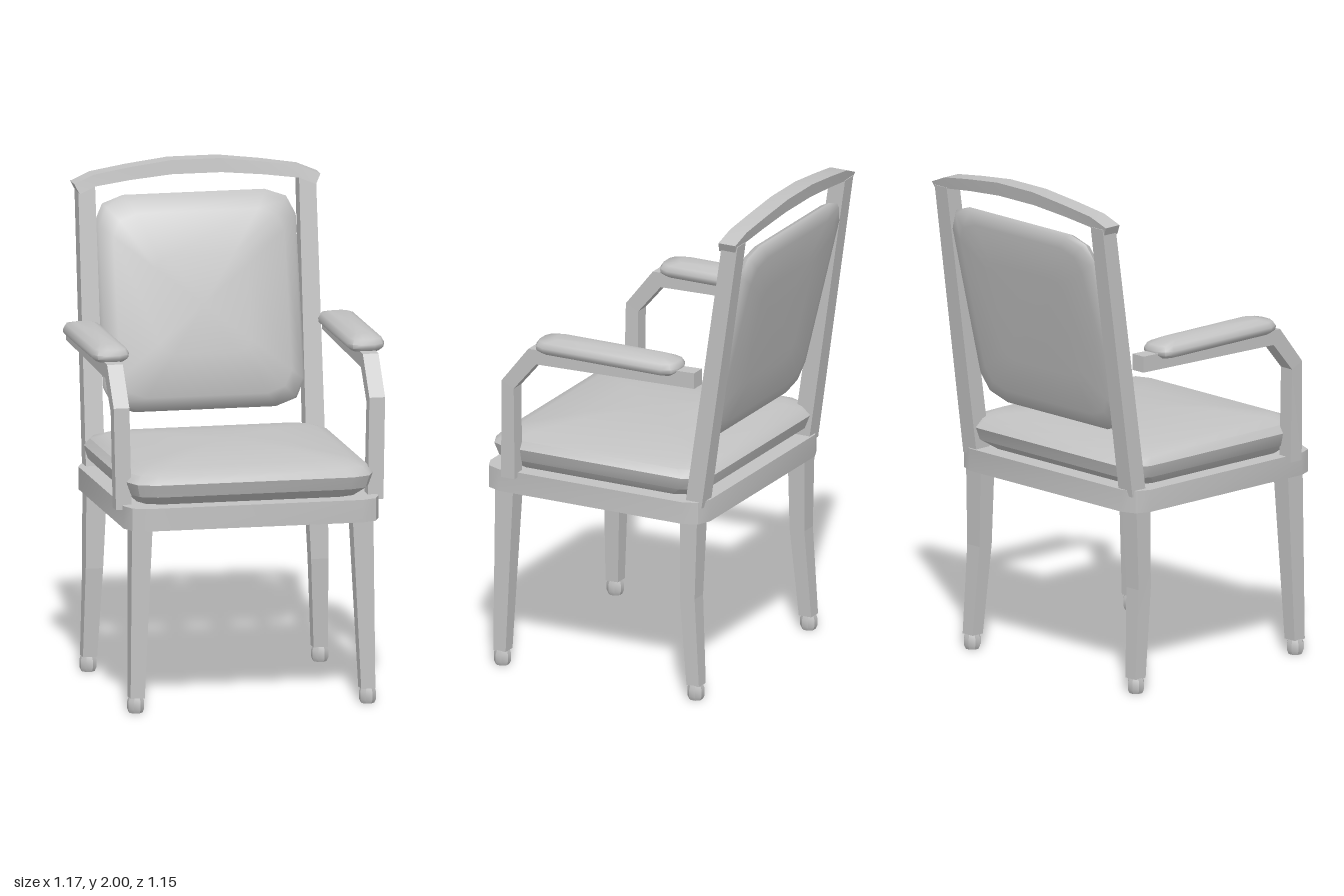
import * as THREE from 'three';
import { toCreasedNormals } from 'three/addons/utils/BufferGeometryUtils.js';

const grey = new THREE.MeshStandardMaterial({ color: 0xc2c2c2 });
grey.name = 'plain grey';

// Skin a stack of equal-sized rings [[x,y,z], ...] and close both ends with fans
function loft(rings, crease = 0.6, startTip = null, endTip = null) {
  const n = rings[0].length, pos = rings.flat(2), index = [];
  const mean = r => [0, 1, 2].map(k => r.reduce((s, p) => s + p[k], 0) / n);
  const last = (rings.length - 1) * n, a = rings.length * n, b = a + 1;
  pos.push(...(startTip || mean(rings[0])), ...(endTip || mean(rings[rings.length - 1])));
  for (let j = 0; j < n; j++) {
    const k = (j + 1) % n;
    for (let i = 0; i < last; i += n) {
      index.push(i + j, i + k, i + n + k, i + j, i + n + k, i + n + j);
    }
    index.push(a, k, j, b, last + j, last + k);
  }
  const g = new THREE.BufferGeometry();
  g.setAttribute('position', new THREE.Float32BufferAttribute(pos, 3));
  g.setIndex(index);
  return toCreasedNormals(g, crease);
}

// Rectangle with eased corners, counter-clockwise, three points per corner
function outline(hu, hv, ru, rv = ru) {
  const pts = [];
  [[1, 1], [-1, 1], [-1, -1], [1, -1]].forEach(([su, sv], q) => {
    for (let k = 0; k < 3; k++) {
      const t = (q + k / 2) * Math.PI / 2;
      pts.push([su * (hu - ru) + ru * Math.cos(t), sv * (hv - rv) + rv * Math.sin(t)]);
    }
  });
  return pts;
}

// Horizontal eased-rectangle ring
const level = (hx, hz, y, rx, rz, cx = 0, cz = 0) =>
  outline(hz, hx, rz, rx).map(([u, v]) => [cx + v, y, cz + u]);

// Horizontal square-cornered ring between limits
const square = (y, x0, x1, z0, z1) => [[x0, y, z1], [x1, y, z1], [x1, y, z0], [x0, y, z0]];

export function createModel() {
  const group = new THREE.Group();
  const add = (name, geometry) => {
    const mesh = new THREE.Mesh(geometry, grey);
    mesh.name = name;
    group.add(mesh);
  };

  // Seat frame and upholstered seat
  add('seatFrame', loft([0.735, 0.825].map(y => level(0.512, 0.49, y, 0.08, 0.08, 0, 0.085))));
  add('seatCushion', loft([
    [0.44, 0.41, 0.824], [0.482, 0.468, 0.864], [0.495, 0.485, 0.915],
    [0.475, 0.455, 0.945], [0.42, 0.4, 0.967], [0.22, 0.21, 0.992],
  ].map(([hx, hz, y]) => level(hx, hz, y, hx * 0.2, hz * 0.2, 0, 0.083)), 0.6, null, [0, 1, 0.083]));

  // Reclined back cushion: a shallow back, a rim and a fuller front
  const backRing = (s, bulge) => outline(0.405 * s, 0.415 * s, 0.12 * s, 0.1 * s)
    .map(([x, v]) => [x, 1.445 + v, -0.445 - 0.247 * v + bulge]);
  add('backCushion', loft([
    backRing(0.5, -0.032), backRing(0.85, -0.028), backRing(0.97, -0.015), backRing(1, 0.002),
    backRing(0.97, 0.028), backRing(0.85, 0.062), backRing(0.45, 0.085),
  ], 0.9, [0, 1.445, -0.478], [0, 1.445, -0.355]));

  // Curved crest rail
  const rail = [
    // x top, x bottom, y bottom, y top, z shift
    [0.495, 0.475, 1.885, 1.925, 0.022], [0.415, 0.41, 1.912, 1.958, 0.014],
    [0.27, 0.27, 1.93, 1.98, 0.006], [0.1, 0.1, 1.945, 2, 0],
  ];
  const stations = [
    ...rail.map(([a, b, ...r]) => [-a, -b, ...r]), ...rail.slice().reverse(),
  ];
  add('crestRail', loft(stations.map(([xt, xb, yb, yt, dz]) => [
    [xb, yb, -0.563 + dz], [xt, yt, -0.573 + dz], [xt, yt, -0.498 + dz], [xb, yb, -0.49 + dz],
  ]), 0.5));

  // Arm profile: upright, bend and rail
  const armShape = new THREE.Shape([
    [0.41, 0.805], [0.47, 0.805], [0.465, 1.21], [0.345, 1.362],
    [-0.395, 1.385], [-0.395, 1.32], [0.31, 1.303], [0.41, 1.185],
  ].map(p => new THREE.Vector2(...p)));

  for (const [side, s] of [['left', 1], ['right', -1]]) {
    const sq = (y, a, b, z0, z1) =>
      square(y, Math.min(s * a, s * b), Math.max(s * a, s * b), z0, z1);

    add(side + 'FrontLeg', loft([
      sq(0.06, 0.435, 0.492, 0.475, 0.53), sq(0.75, 0.402, 0.485, 0.445, 0.525),
    ]));
    add(side + 'BackLeg', loft([
      sq(0.06, 0.435, 0.492, -0.387, -0.332), sq(0.42, 0.418, 0.488, -0.366, -0.3),
      sq(0.75, 0.402, 0.485, -0.375, -0.3),
    ], 0.05));

    // Small faceted feet with a narrower top
    for (const [end, z] of [['Front', 0.503], ['Back', -0.36]]) {
      const foot = new THREE.LatheGeometry([
        [0, 0], [0.027, 0], [0.034, 0.015], [0.034, 0.045], [0.026, 0.068], [0, 0.068],
      ].map(p => new THREE.Vector2(...p)), 8, Math.PI / 8);
      foot.translate(s * 0.466, 0, z);
      add(side + end + 'Foot', toCreasedNormals(foot, 0.6));
    }

    // Raked back post
    add(side + 'BackPost', loft([
      sq(0.8, 0.405, 0.482, -0.393, -0.32), sq(1.915, 0.41, 0.478, -0.552, -0.482),
    ]));

    // Arm, leaning slightly outward towards the top, and padded rest
    const arm = new THREE.ExtrudeGeometry(armShape, { depth: 0.063, bevelEnabled: false });
    arm.rotateY(-Math.PI / 2);
    arm.translate(s * 0.514 + 0.0315, 0, 0);
    const p = arm.attributes.position;
    for (let i = 0; i < p.count; i++) {
      if (p.getY(i) < 1) p.setX(i, p.getX(i) - s * 0.008);
    }
    arm.computeVertexNormals();
    add(side + 'Arm', arm);
    add(side + 'ArmPad', loft([
      [0.055, 0.295, 1.36], [0.072, 0.314, 1.374], [0.074, 0.316, 1.39],
      [0.064, 0.303, 1.41], [0.036, 0.24, 1.424],
    ].map(([hx, hz, y]) => level(hx, hz, y, hx * 0.65, hx * 0.7, s * 0.513, -0.004)),
    0.9, null, [s * 0.513, 1.429, -0.004]));
  }
  return group;
}
